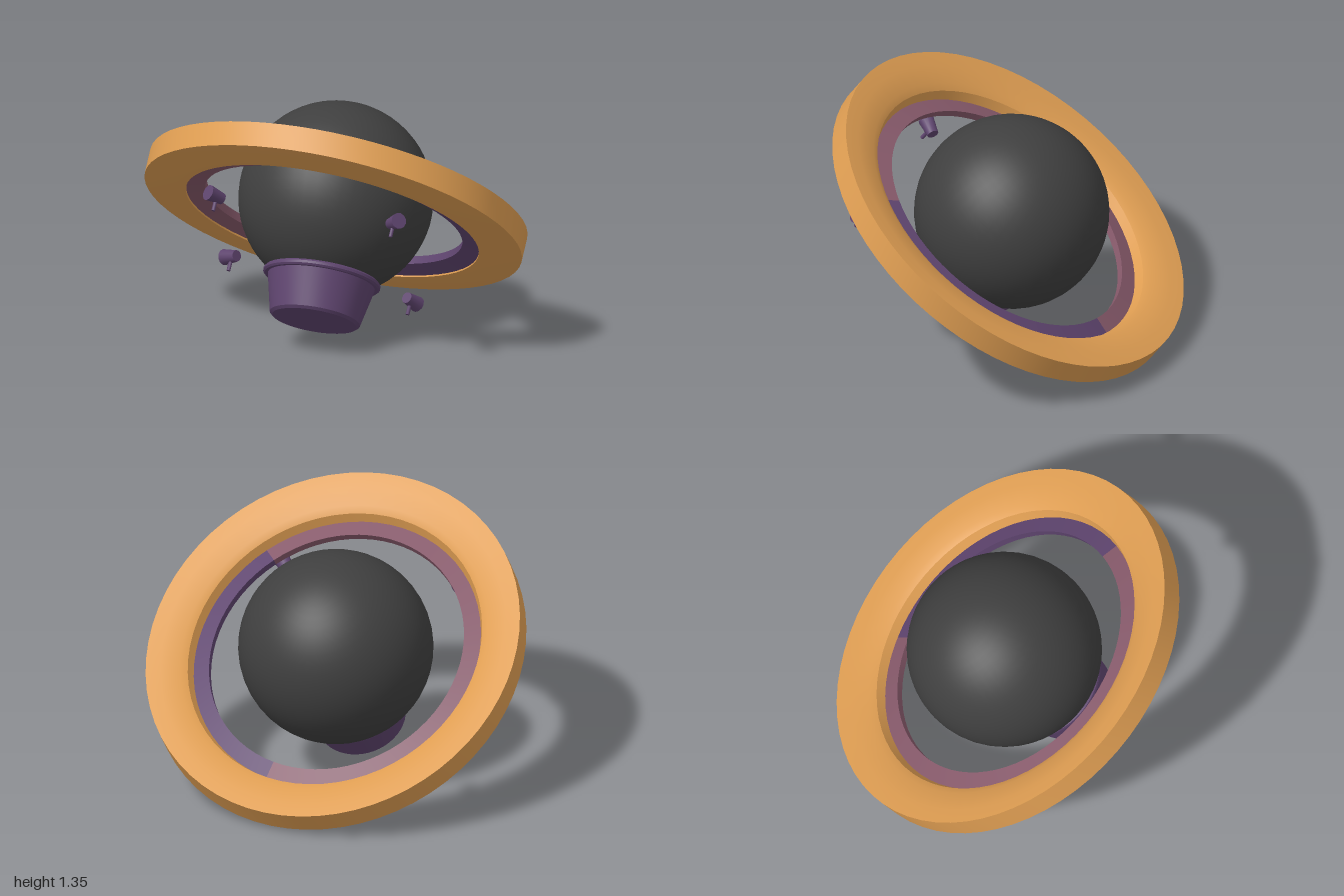
import * as THREE from 'three';
import { toCreasedNormals } from 'three/addons/utils/BufferGeometryUtils.js';

const material = (name, color) => {
  const m = new THREE.MeshStandardMaterial({ color });
  m.name = name;
  return m;
};

// Revolve [radius, height] points, keeping the edges sharp
function revolve(points, segments, start = 0, sweep = Math.PI * 2) {
  const profile = points.map(([r, y]) => new THREE.Vector2(r, y));
  return toCreasedNormals(new THREE.LatheGeometry(profile, segments, start, sweep), 0.5);
}

export function createModel() {
  const charcoal = material('charcoal', 0x3f3f3f);
  const orange = material('orange', 0xde9d52);
  const purple = material('purple', 0x5e446e);
  const mauve = material('mauve', 0x86596a);

  const model = new THREE.Group();
  model.name = 'ringedGlobe';

  function add(parent, name, geometry, mat, x = 0, y = 0, z = 0) {
    const mesh = new THREE.Mesh(geometry, mat);
    mesh.name = name;
    mesh.position.set(x, y, z);
    parent.add(mesh);
    return mesh;
  }

  // Group whose own y axis leans along the given direction
  function tiltedGroup(name, position, axis) {
    const group = new THREE.Group();
    group.name = name;
    group.position.set(...position);
    group.quaternion.setFromUnitVectors(
      new THREE.Vector3(0, 1, 0), new THREE.Vector3(...axis).normalize());
    model.add(group);
    return group;
  }

  // Globe with a tapered base cup and a thin rolled lip
  const globe = tiltedGroup('globeAndBase', [-0.002, 0.714, -0.019], [0.118, 0.835, -0.536]);
  add(globe, 'globe', new THREE.SphereGeometry(0.504, 48, 32), charcoal);
  add(globe, 'baseCup', revolve([
    [0, -0.665], [0.22, -0.665], [0.236, -0.652], [0.28, -0.452], [0.297, -0.452],
    [0.306, -0.443], [0.306, -0.43], [0.297, -0.42], [0.26, -0.42]
  ], 48), purple);

  // Wide ring: dished top, underside deepening towards the middle
  const ringAssembly = tiltedGroup('ringAndKnobs', [0, 0.68, 0], [0.168, 0.805, -0.57]);
  const ring = new THREE.Group();
  ring.name = 'ring';
  ring.scale.z = 1.037;
  ringAssembly.add(ring);
  add(ring, 'outerRing', revolve([
    [0.775, -0.087], [0.82, -0.087], [0.998, -0.066], [0.998, 0.066],
    [0.92, 0.06], [0.82, 0.042], [0.785, 0.022], [0.765, -0.03], [0.775, -0.087]
  ], 64), orange);

  // Inner band, coloured in two arcs
  const band = [[0.68, -0.052], [0.778, -0.08], [0.768, -0.028], [0.68, -0.01], [0.68, -0.052]];
  const deg = Math.PI / 180;
  add(ring, 'innerBandPurple', revolve(band, 24, 34 * deg, 121 * deg), purple);
  add(ring, 'innerBandMauve', revolve(band, 48, 155 * deg, 239 * deg), mauve);

  // Four small knobs with stems, spaced below the ring
  const knobs = [[0.378, 0.674], [-0.576, 0.487], [0.439, -0.629], [-0.518, -0.511]];
  knobs.forEach(([x, z], i) => {
    const knob = new THREE.Group();
    knob.name = `knob${i + 1}`;
    knob.position.set(x, -0.23, z);
    knob.rotation.y = Math.atan2(x, z);
    const body = add(knob, 'knobBody',
      toCreasedNormals(new THREE.CylinderGeometry(0.042, 0.03, 0.095, 12), 0.6), purple);
    body.rotation.x = Math.PI / 2;
    add(knob, 'knobStem', new THREE.CylinderGeometry(0.01, 0.01, 0.055, 8), purple, 0, -0.052, -0.01);
    ringAssembly.add(knob);
  });

  return model;
}
